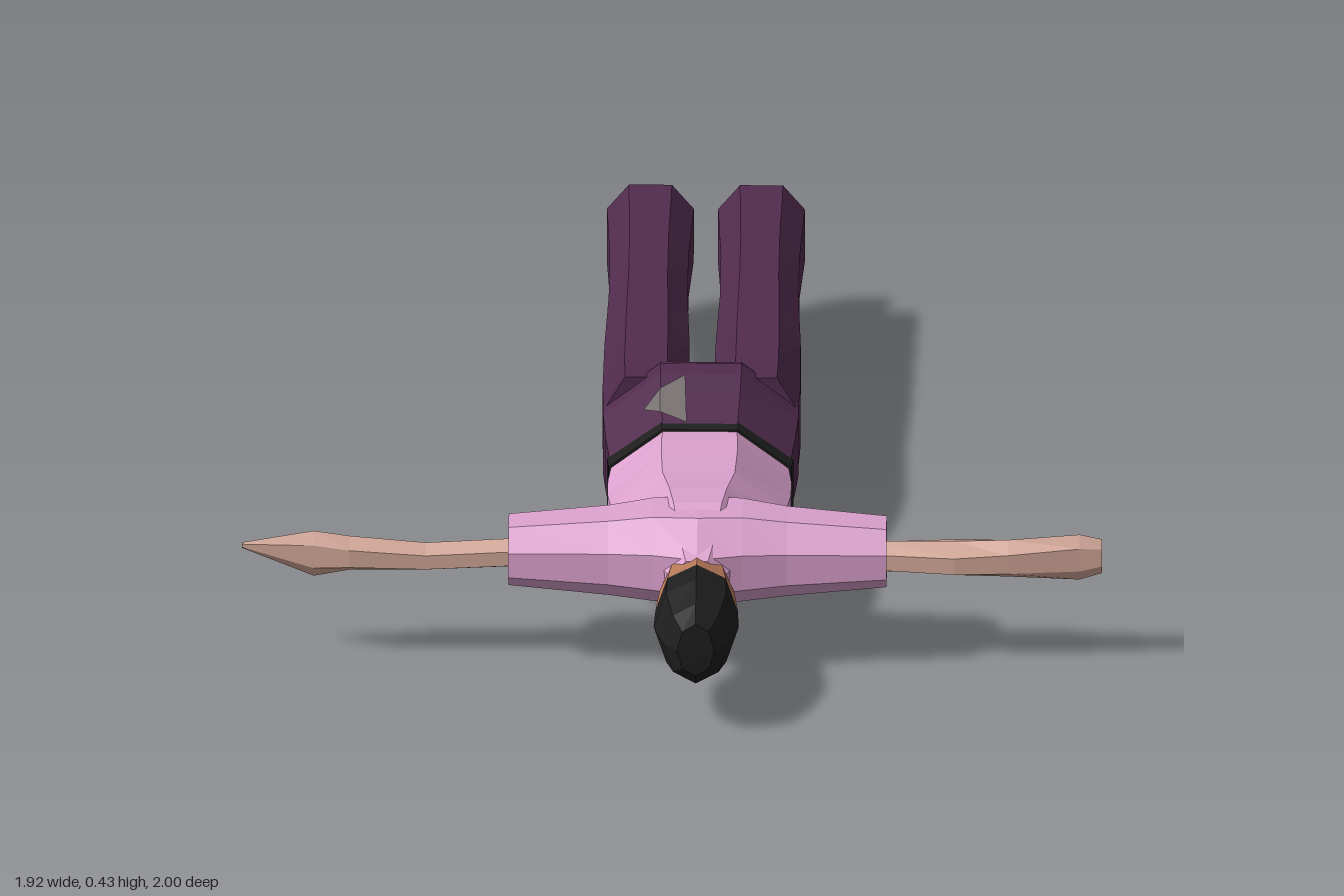
import * as THREE from 'three';

const mat = (name, color) => {
  const m = new THREE.MeshStandardMaterial({ color });
  m.name = name;
  return m;
};

const CX = 0.057; // body centre line

// Point n of a rounded polygon: offset in -1..1 along two axes. p < 1 makes it squarer.
function polygon(n, turned, p = 1) {
  const k = turned ? 1 / Math.cos(Math.PI / n) : 1;
  const f = (v) => Math.sign(v) * Math.min(1, Math.abs(v * k) ** p);
  return Array.from({ length: n }, (_, j) => {
    const a = ((j + (turned ? 0.5 : 0)) / n) * Math.PI * 2;
    return [f(Math.cos(a)), f(Math.sin(a))];
  });
}

// Ring across z: [z at top, z at bottom, centre x, half width, top, bottom]
const ringZ = (poly) => ([zt, zb, cx, hw, top, bot]) =>
  poly.map(([u, v]) => {
    const t = (1 - v) / 2;
    return [cx + u * hw, top + (bot - top) * t, zt + (zb - zt) * t * t];
  });

// Ring across x: [x, z min, z max, y min, y max]
const ringX = (poly) => ([x, z0, z1, y0, y1]) =>
  poly.map(([u, v]) => [x, (y0 + y1) / 2 + (u * (y1 - y0)) / 2, (z0 + z1) / 2 + (v * (z1 - z0)) / 2]);

// Faceted skin over a row of rings, with closed ends; pick(i, j) chooses the material.
function loft(name, rings, mats, pick = () => 0) {
  const buckets = mats.map(() => []);
  const n = rings[0].length;
  const last = rings.length - 1;
  for (let i = 0; i < last; i++) {
    for (let j = 0; j < n; j++) {
      const k = (j + 1) % n;
      const [a, b, c, d] = [rings[i][j], rings[i][k], rings[i + 1][k], rings[i + 1][j]];
      buckets[pick(i, j)].push(...a, ...b, ...c, ...a, ...c, ...d);
    }
  }
  for (let j = 1; j < n - 1; j++) {
    buckets[pick(0, j)].push(...rings[0][0], ...rings[0][j + 1], ...rings[0][j]);
    buckets[pick(last, j)].push(...rings[last][0], ...rings[last][j], ...rings[last][j + 1]);
  }
  const g = new THREE.BufferGeometry();
  g.setAttribute('position', new THREE.Float32BufferAttribute(buckets.flat(), 3));
  g.computeVertexNormals();
  let start = 0;
  buckets.forEach((b, m) => {
    g.addGroup(start, b.length / 3, m);
    start += b.length / 3;
  });
  const mesh = new THREE.Mesh(g, mats);
  mesh.name = name;
  return mesh;
}

export function createModel() {
  const group = new THREE.Group();
  group.name = 'lyingFigure';
  const pink = mat('pinkShirt', 0xdca2cf);
  const purple = mat('purpleTrousers', 0x522c4e);
  const black = mat('black', 0x1f1f1f);
  const armSkin = mat('armSkin', 0xd3a899);
  const faceSkin = mat('faceSkin', 0xb87a5a);
  const grey = mat('greyPatch', 0x777070);

  const oct = polygon(8, true);
  const body = ringZ(oct);

  // Shirt: belly and chest
  group.add(loft('shirtTorso', [
    [0.2, 0.145, CX, 0.198, 0.37, 0.05],
    [0.25, 0.21, CX, 0.205, 0.375, 0.006],
    [0.31, 0.29, CX, 0.205, 0.375, 0],
    [0.42, 0.4, CX, 0.195, 0.38, 0.055],
    [0.52, 0.52, CX, 0.155, 0.393, 0.1],
    [0.6, 0.59, CX, 0.13, 0.397, 0.125],
    [0.68, 0.67, CX, 0.1, 0.36, 0.16],
    [0.745, 0.73, CX, 0.06, 0.325, 0.19],
  ].map(body), [pink]));

  // Shirt: shoulders and short sleeves
  group.add(loft('shirtSleeves', [
    [CX - 0.422, 0.52, 0.68, 0.205, 0.35],
    [CX - 0.2, 0.505, 0.695, 0.185, 0.37],
    [CX - 0.1, 0.485, 0.715, 0.175, 0.385],
    [CX, 0.47, 0.74, 0.17, 0.39],
    [CX + 0.1, 0.485, 0.715, 0.175, 0.385],
    [CX + 0.2, 0.505, 0.695, 0.185, 0.37],
    [CX + 0.422, 0.52, 0.68, 0.205, 0.35],
  ].map(ringX(oct)), [pink]));

  // Bare arms with hands
  const arm = ringX(polygon(6, false));
  group.add(loft('leftArm', [
    [0.45, 0.575, 0.65, 0.235, 0.31],
    [0.63, 0.56, 0.67, 0.232, 0.312],
    [0.75, 0.585, 0.66, 0.228, 0.32],
    [0.91, 0.605, 0.642, 0.222, 0.335],
    [0.96, 0.615, 0.637, 0.24, 0.325],
  ].map(arm), [armSkin]));
  group.add(loft('rightArm', [
    [-0.96, 0.627, 0.633, 0.293, 0.307],
    [-0.8, 0.605, 0.647, 0.222, 0.335],
    [-0.72, 0.585, 0.657, 0.235, 0.32],
    [-0.55, 0.575, 0.65, 0.232, 0.3],
    [-0.34, 0.57, 0.645, 0.24, 0.31],
  ].map(arm), [armSkin]));

  // Head: hair over the back and crown, skin on face and neck
  group.add(loft('head', [
    [0.66, 0.68, CX, 0.06, 0.33, 0.19],
    [0.74, 0.745, CX, 0.083, 0.33, 0.17],
    [0.785, 0.785, CX, 0.092, 0.338, 0.105],
    [0.87, 0.88, CX, 0.095, 0.346, 0.107],
    [0.95, 0.95, CX, 0.072, 0.325, 0.125],
    [1, 0.99, CX, 0.042, 0.3, 0.165],
  ].map(ringZ(polygon(8, false))), [faceSkin, black], (i, j) =>
    (i >= 4 || (i >= 2 && j < 4) || (i === 3 && (j === 4 || j === 7)) ? 1 : 0)));

  // Belt
  group.add(loft('belt', [
    [0.168, 0.11, CX, 0.208, 0.375, 0.048],
    [0.205, 0.15, CX, 0.204, 0.375, 0.045],
  ].map(body), [black]));

  // Trousers: hips
  group.add(loft('hips', [
    [-0.075, -0.04, CX, 0.215, 0.4, 0.095],
    [-0.02, -0.02, CX, 0.218, 0.425, 0.075],
    [0.03, 0.03, CX, 0.218, 0.425, 0.065],
    [0.1, 0.07, CX, 0.212, 0.4, 0.057],
    [0.19, 0.13, CX, 0.2, 0.37, 0.05],
  ].map(body), [purple]));

  for (const [side, s] of [['left', 1], ['right', -1]]) {
    // Trouser leg with slanted hem
    const x = CX + s * 0.124;
    group.add(loft(side + 'Leg', [
      [-0.91, -0.84, x, 0.097, 0.41, 0.18],
      [-0.67, -0.67, x, 0.088, 0.41, 0.2],
      [-0.48, -0.48, x, 0.088, 0.41, 0.18],
      [-0.3, -0.3, x, 0.095, 0.39, 0.145],
      [-0.1, -0.1, x, 0.097, 0.395, 0.1],
      [0, 0, x, 0.092, 0.4, 0.08],
    ].map(ringZ(polygon(8, true, 0.8))), [purple]));

    // Shoe, toe pointing down
    const sx = CX + s * 0.12;
    group.add(loft(side + 'Shoe', [
      [-1, -1, sx, 0.078, 0.35, 0.055],
      [-0.915, -0.915, sx, 0.055, 0.335, 0.14],
      [-0.86, -0.86, sx, 0.045, 0.33, 0.23],
    ].map(ringZ(polygon(8, true, 0.6))), [black]));
  }

  // Patch on the seat, lying just above the cloth
  const at = (x, z) => [x, 0.375 + 0.33 * (0.2 - z) - 0.8 * Math.max(0, -0.033 - x), z];
  const [a, b, c, d, e] = [at(-0.07, 0.11), at(-0.033, 0.08), at(0.022, 0.04), at(0.027, 0.18), at(-0.033, 0.15)];
  const pg = new THREE.BufferGeometry();
  pg.setAttribute('position', new THREE.Float32BufferAttribute([a, e, b, b, e, d, b, d, c].flat(), 3));
  pg.computeVertexNormals();
  const patch = new THREE.Mesh(pg, grey);
  patch.name = 'seatPatch';
  group.add(patch);

  return group;
}
